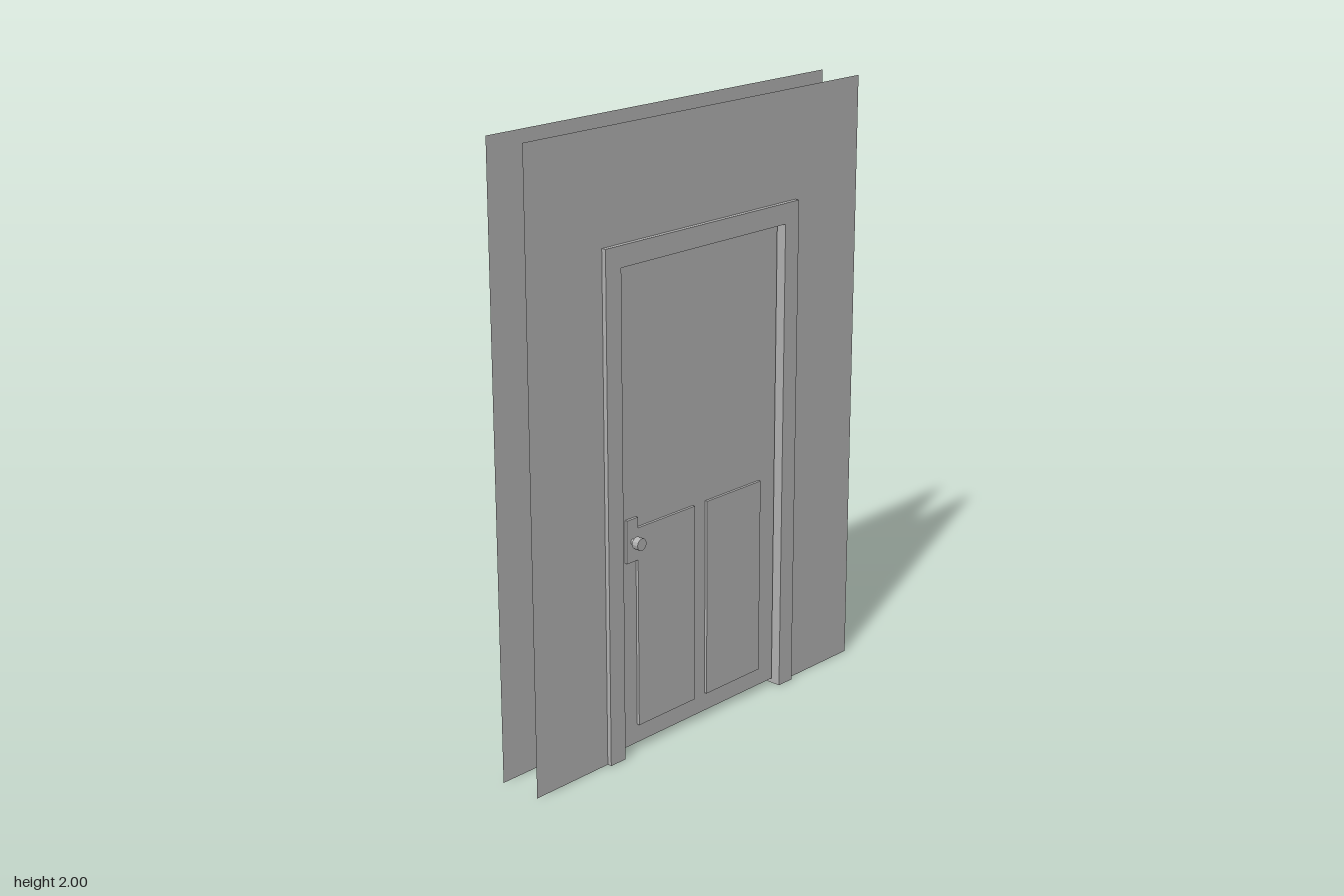
import * as THREE from 'three';

export function createModel() {
  const group = new THREE.Group();
  group.name = 'doorway';
  const grey = new THREE.MeshStandardMaterial({ color: 0xb2b2b2, side: THREE.DoubleSide });
  grey.name = 'plain grey';

  const add = (name, geometry, x = 0, y = 0, z = 0) => {
    const mesh = new THREE.Mesh(geometry, grey);
    mesh.name = name;
    mesh.position.set(x, y, z);
    group.add(mesh);
    return mesh;
  };
  // box given by its limits
  const box = (name, x0, x1, y0, y1, z0, z1) =>
    add(name, new THREE.BoxGeometry(x1 - x0, y1 - y0, z1 - z0), (x0 + x1) / 2, (y0 + y1) / 2, (z0 + z1) / 2);
  // outline of an upside-down U, standing on y = 0
  const arch = (outerX, outerY, innerX, innerY) => new THREE.Shape([
    [-outerX, 0], [-innerX, 0], [-innerX, innerY], [innerX, innerY],
    [innerX, 0], [outerX, 0], [outerX, outerY], [-outerX, outerY],
  ].map(([x, y]) => new THREE.Vector2(x, y)));

  const openX = 0.368, openY = 1.58, wallZ = 0.074, trimDepth = 0.015;

  for (const side of [1, -1]) {
    const face = side > 0 ? 'front' : 'back';
    // thin wall sheet with the opening
    const wall = add(face + 'Wall', new THREE.ShapeGeometry(arch(0.735, 2, openX, openY)), 0, 0, side * wallZ);
    if (side < 0) wall.rotation.y = Math.PI;
    // casing around the opening
    add(face + 'Trim',
      new THREE.ExtrudeGeometry(arch(0.432, 1.647, openX, openY), { depth: trimDepth, bevelEnabled: false }),
      0, 0, side > 0 ? wallZ : -wallZ - trimDepth);
  }
  // ledge over the back casing
  box('backLedge', -0.455, 0.455, 1.647, 1.674, -0.11, -wallZ);

  // lining of the opening
  for (const side of [1, -1]) {
    const jamb = add(side > 0 ? 'leftJamb' : 'rightJamb',
      new THREE.PlaneGeometry(wallZ * 2, openY), side * openX, openY / 2, 0);
    jamb.rotation.y = -side * Math.PI / 2;
  }
  const head = add('headJamb', new THREE.PlaneGeometry(openX * 2, wallZ * 2), 0, openY, 0);
  head.rotation.x = Math.PI / 2;

  // door leaf with raised panels on both faces
  const doorBack = 0.036, doorFront = 0.062, raise = 0.009;
  box('door', -0.36, 0.36, 0.02, 1.572, doorBack, doorFront);
  for (const side of [1, -1]) {
    const face = side > 0 ? 'front' : 'back';
    const surface = side > 0 ? doorFront : doorBack;
    const z0 = Math.min(surface, surface + side * raise);
    const z1 = Math.max(surface, surface + side * raise);
    box(face + 'LeftPanel', 0.027, 0.283, 0.082, 0.745, z0, z1);
    box(face + 'RightPanel', -0.287, -0.03, 0.082, 0.745, z0, z1);
    box(face + 'LockPlate', -0.335, -0.287, 0.64, 0.78, z0, z1);

    // knob turned about z: thin neck, wide grip
    const knob = add(face + 'Knob', new THREE.LatheGeometry([
      [0.009, 0], [0.009, 0.025], [0.02, 0.025], [0.02, 0.048], [0, 0.048],
    ].map(([r, y]) => new THREE.Vector2(r, y)), 12).toNonIndexed(), -0.31, 0.707, surface);
    knob.geometry.computeVertexNormals();
    knob.rotation.x = side * Math.PI / 2;
  }
  return group;
}
